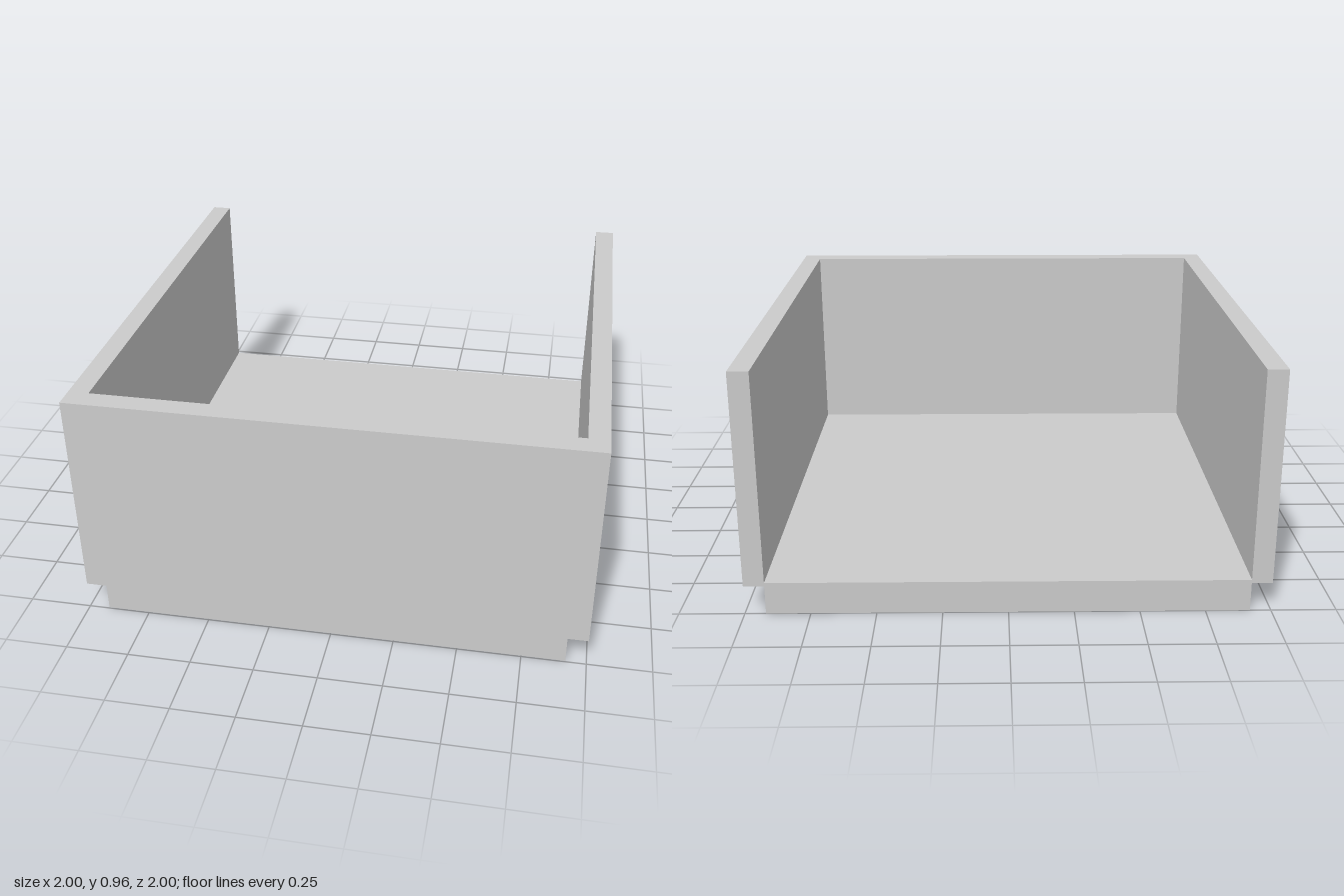
import * as THREE from 'three';

const BASE_HALF = 0.92;   // half width of the base, also the inner half width
const WALL_BOTTOM = 0.115;
const TOP = 0.96;
const FLOOR_TOP = 0.128;

export function createModel() {
  const group = new THREE.Group();
  const material = new THREE.MeshStandardMaterial({ color: 0xcccccc, flatShading: true });

  // Base slab, narrower than the walls so that they overhang at both sides
  const baseDepth = 1.995;
  const base = new THREE.Mesh(new THREE.BoxGeometry(BASE_HALF * 2, FLOOR_TOP, baseDepth), material);
  base.name = 'base';
  base.position.set(0, FLOOR_TOP / 2, -1 + baseDepth / 2);
  group.add(base);

  // U-shaped wall, open at the back: plan drawn with shape y = -z
  const plan = new THREE.Shape([
    [-1, 1], [-1, -1], [1, -1], [1, 1],
    [BASE_HALF, 1], [BASE_HALF, -0.915], [-BASE_HALF, -0.915], [-BASE_HALF, 1],
  ].map(([x, y]) => new THREE.Vector2(x, y)));
  const wallGeometry = new THREE.ExtrudeGeometry(plan, { depth: TOP - WALL_BOTTOM, bevelEnabled: false });
  wallGeometry.rotateX(-Math.PI / 2);
  const walls = new THREE.Mesh(wallGeometry, material);
  walls.name = 'walls';
  walls.position.y = WALL_BOTTOM;
  group.add(walls);

  return group;
}
